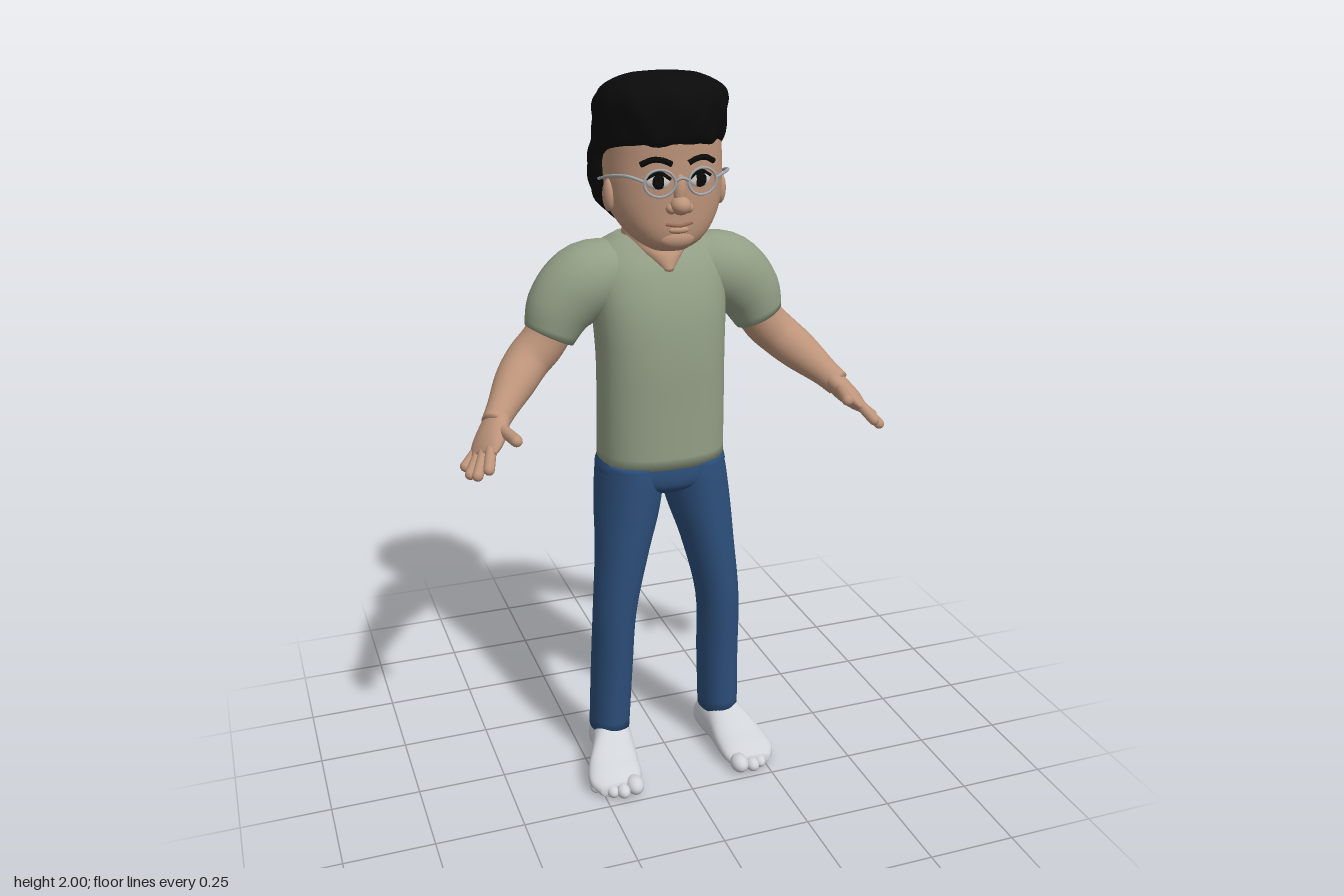
import * as THREE from 'three';

const V = (x, y, z) => new THREE.Vector3(x, y, z);
const paint = (name, color) => {
  const m = new THREE.MeshStandardMaterial({ color });
  m.name = name;
  return m;
};

// Smooth loft through rows [x, y, z, radiusU, radiusV]; without axes the rings follow the path.
function loft(rows, { u, v, power = 2, steps = 5, seg = 36, bump } = {}) {
  const path = new THREE.CatmullRomCurve3(rows.map(r => V(r[0], r[1], r[2])), false, 'catmullrom');
  const size = new THREE.CatmullRomCurve3(rows.map(r => V(r[3], r[4], 0)), false, 'catmullrom');
  const n = (rows.length - 1) * steps, pos = [], idx = [];
  const round = c => Math.sign(c) * Math.abs(c) ** (2 / power);
  for (let i = 0; i <= n; i++) {
    const c = path.getPoint(i / n), s = size.getPoint(i / n), t = path.getTangent(i / n);
    const a = u ?? V(0, 0, 1).cross(t).normalize(), b = v ?? t.clone().cross(a);
    for (let j = 0; j < seg; j++) {
      const q = j / seg * Math.PI * 2, k = bump ? 1 + bump(q, c.y) : 1;
      const p = c.clone().addScaledVector(a, round(Math.cos(q)) * s.x * k)
        .addScaledVector(b, round(Math.sin(q)) * s.y * k);
      pos.push(p.x, p.y, p.z);
    }
  }
  for (let i = 0; i < n; i++) for (let j = 0; j < seg; j++) {
    const k = (j + 1) % seg, a = i * seg + j, b = i * seg + k;
    idx.push(a, b, b + seg, a, b + seg, a + seg);
  }
  const first = path.getPoint(0), last = path.getPoint(1), e = (n + 1) * seg;
  pos.push(first.x, first.y, first.z, last.x, last.y, last.z);
  for (let j = 0; j < seg; j++) {
    const k = (j + 1) % seg;
    idx.push(e, k, j, e + 1, n * seg + j, n * seg + k);
  }
  const g = new THREE.BufferGeometry();
  g.setAttribute('position', new THREE.Float32BufferAttribute(pos, 3));
  g.setIndex(idx);
  g.computeVertexNormals();
  return g;
}

// Upright loft from rows [y, halfWidth, zFront, zBack, xCentre]
const upright = (rows, opts = {}) => loft(
  rows.map(([y, w, f, b, x = 0]) => [x, y, (f + b) / 2, (f - b) / 2, w]),
  { u: V(0, 0, 1), v: V(1, 0, 0), ...opts });

const tube = (pts, r) => new THREE.TubeGeometry(
  new THREE.CatmullRomCurve3(pts.map(p => V(...p))), 20, r, 8);

// Depth of the front of the face
const faceZ = x => -0.025 + 0.146 * (1 - (Math.abs(x) / 0.155) ** 2.4) ** (1 / 2.4);

export function createModel() {
  const model = new THREE.Group();
  model.name = 'standingMan';
  const skin = paint('skin', 0xbd947a), shirt = paint('sage shirt', 0x929e85);
  const denim = paint('denim', 0x2c4e7a), sock = paint('pale shoe', 0xd0d3d8);
  const black = paint('black hair', 0x0a0a0a), metal = paint('grey frame', 0xa4a8ac);
  const white = paint('eye white', 0xd2cbc5), lip = paint('lip', 0x9c6c5a);

  const add = (name, geo, mat, parent = model) => {
    const m = new THREE.Mesh(geo, mat);
    m.name = name;
    parent.add(m);
    return m;
  };
  const ball = (name, mat, p, s, parent) => {
    const m = add(name, new THREE.SphereGeometry(1, 24, 16), mat, parent);
    m.position.set(...p);
    m.scale.set(...s);
    return m;
  };

  // Torso, hips and neck
  add('shirtBody', upright([
    [0.945, 0.179, 0.1, -0.176], [1.1, 0.178, 0.1, -0.166], [1.25, 0.178, 0.1, -0.17],
    [1.38, 0.185, 0.085, -0.178], [1.48, 0.19, 0.048, -0.178],
    [1.54, 0.17, 0.005, -0.165], [1.575, 0.11, -0.02, -0.14],
  ], { power: 2.4 }), shirt);
  add('hips', upright([
    [0.86, 0.06, 0.06, -0.1], [0.885, 0.14, 0.09, -0.15],
    [0.92, 0.185, 0.098, -0.17], [0.97, 0.172, 0.094, -0.168],
  ], { power: 2.4 }), denim);
  add('neck', upright([
    [1.49, 0.02, 0.05, -0.05], [1.53, 0.065, 0.036, -0.11],
    [1.565, 0.095, 0.015, -0.145], [1.63, 0.085, 0.01, -0.13],
  ]), skin);

  // Head and hair
  add('head', upright([
    [1.553, 0.05, 0.08, -0.04], [1.575, 0.085, 0.105, -0.07], [1.61, 0.118, 0.115, -0.1],
    [1.66, 0.145, 0.118, -0.14], [1.72, 0.155, 0.121, -0.17], [1.79, 0.155, 0.122, -0.18],
    [1.86, 0.15, 0.12, -0.19], [1.93, 0.12, 0.08, -0.15],
  ], { power: 2.4, seg: 48 }), skin);
  const locks = (q, y) => 0.018 * Math.sin(q * 9 + y * 40) + 0.012 * Math.sin(q * 16 - y * 55);
  add('hair', upright([
    [1.588, 0.07, -0.07, -0.145], [1.62, 0.115, -0.045, -0.165], [1.67, 0.158, 0, -0.19],
    [1.74, 0.172, 0.02, -0.215], [1.785, 0.17, 0.03, -0.226], [1.815, 0.166, 0.09, -0.232],
    [1.835, 0.164, 0.128, -0.234], [1.88, 0.165, 0.14, -0.222], [1.93, 0.167, 0.138, -0.19],
    [1.965, 0.148, 0.118, -0.14], [1.99, 0.1, 0.07, -0.085], [1.998, 0.03, 0.02, -0.04],
  ], { power: 2.4, seg: 72, bump: locks }), black);

  // Nose and mouth
  ball('noseTip', skin, [0, 1.68, 0.126], [0.027, 0.024, 0.03]);
  ball('noseBridge', skin, [0, 1.715, 0.118], [0.017, 0.045, 0.017]);
  ball('chin', skin, [0, 1.59, 0.095], [0.05, 0.028, 0.024]);
  add('mouth', tube([[-0.036, 1.632, 0.114], [0, 1.627, 0.12], [0.036, 1.632, 0.114]], 0.0045), lip);
  ball('lowerLip', skin, [0, 1.615, 0.113], [0.028, 0.01, 0.012]);
  add('glassesBridge', tube([[-0.018, 1.745, 0.137], [0, 1.752, 0.14], [0.018, 1.745, 0.137]], 0.004), metal);

  for (const s of [1, -1]) {
    const side = new THREE.Group();
    side.name = s > 0 ? 'leftSide' : 'rightSide';
    model.add(side);

    // Eye, brow, ear and half of the glasses
    const ez = faceZ(0.056);
    ball('eyeWhite', white, [s * 0.056, 1.742, ez - 0.003], [0.031, 0.021, 0.01], side).rotation.y = s * 0.2;
    ball('pupil', black, [s * 0.055, 1.742, ez + 0.003], [0.018, 0.019, 0.007], side);
    add('upperLid', tube([0.026, 0.055, 0.086].map((x, i) =>
      [s * x, [1.748, 1.765, 1.75][i], faceZ(x) + 0.004]), 0.0045), black, side);
    add('brow', tube([0.022, 0.045, 0.07, 0.098].map((x, i) =>
      [s * x, [1.785, 1.795, 1.797, 1.784][i], faceZ(x) + 0.001]), 0.0075), black, side);
    ball('nostril', skin, [s * 0.022, 1.672, 0.118], [0.015, 0.014, 0.017], side);
    ball('ear', skin, [s * 0.153, 1.695, 0.005], [0.016, 0.042, 0.024], side);
    const rim = add('glassesRim', new THREE.TorusGeometry(0.04, 0.0038, 8, 32), metal, side);
    rim.position.set(s * 0.057, 1.74, 0.131);
    rim.rotation.y = s * 0.15;
    rim.scale.set(1, 0.85, 1);
    add('glassesTemple', tube([[s * 0.095, 1.745, 0.125], [s * 0.13, 1.758, 0.11],
      [s * 0.158, 1.75, 0.04], [s * 0.166, 1.73, -0.04]], 0.004), metal, side);

    // Sleeve and arm
    add('sleeve', loft([
      [s * 0.08, 1.47, -0.08, 0.085, 0.085], [s * 0.19, 1.457, -0.074, 0.103, 0.103],
      [s * 0.265, 1.395, -0.07, 0.095, 0.09], [s * 0.305, 1.315, -0.066, 0.071, 0.07],
    ]), shirt, side);
    add('arm', loft([
      [s * 0.28, 1.36, -0.068, 0.06, 0.06], [s * 0.322, 1.295, -0.07, 0.062, 0.062],
      [s * 0.368, 1.25, -0.06, 0.061, 0.061], [s * 0.415, 1.207, -0.018, 0.056, 0.056],
      [s * 0.465, 1.16, 0.04, 0.041, 0.041], [s * 0.495, 1.13, 0.075, 0.036, 0.036],
    ]), skin, side);

    // Hand: flat palm, four fingers and a thumb
    add('palm', loft([
      [s * 0.475, 1.15, 0.05, 0.03, 0.036], [s * 0.5, 1.12, 0.085, 0.03, 0.05],
      [s * 0.525, 1.093, 0.118, 0.025, 0.056], [s * 0.543, 1.073, 0.142, 0.014, 0.048],
    ], { u: V(s * 0.62, 0.78, 0).normalize().multiplyScalar(s),
      v: V(-0.5 * s, 0.36, 0.79).multiplyScalar(1) }), skin, side);
    const fingers = [
      [[0.542, 1.077, 0.09], [0.584, 1.042, 0.118]], [[0.545, 1.076, 0.115], [0.58, 1.035, 0.158]],
      [[0.538, 1.082, 0.138], [0.568, 1.042, 0.192]], [[0.522, 1.095, 0.152], [0.542, 1.062, 0.21]],
      [[0.485, 1.13, 0.105], [0.465, 1.125, 0.195]],
    ];
    fingers.forEach(([a, b], i) => {
      const p = V(s * a[0], a[1], a[2]), q = V(s * b[0], b[1], b[2]), d = q.clone().sub(p);
      const f = add(i < 4 ? 'finger' : 'thumb',
        new THREE.CapsuleGeometry(i < 4 ? 0.0145 : 0.016, d.length(), 6, 12), skin, side);
      f.position.copy(p).add(q).multiplyScalar(0.5);
      f.quaternion.setFromUnitVectors(V(0, 1, 0), d.normalize());
    });

    // Trouser leg
    add('trouserLeg', upright([
      [0.11, 0.058, 0.072, -0.077, s * 0.173], [0.3, 0.06, 0.08, -0.068, s * 0.166],
      [0.5, 0.062, 0.095, -0.056, s * 0.158], [0.68, 0.075, 0.1, -0.09, s * 0.13],
      [0.8, 0.09, 0.1, -0.135, s * 0.108], [0.9, 0.094, 0.099, -0.168, s * 0.094],
      [0.95, 0.088, 0.095, -0.168, s * 0.09],
    ]), denim, side);

    // Foot, from heel to toes, rows of [z, x, halfWidth, height]
    add('foot', loft([
      [-0.085, 0.17, 0.028, 0.05], [-0.06, 0.17, 0.052, 0.1], [0, 0.172, 0.058, 0.135],
      [0.06, 0.183, 0.063, 0.132], [0.12, 0.2, 0.076, 0.086], [0.17, 0.207, 0.077, 0.062],
      [0.21, 0.205, 0.055, 0.038],
    ].map(([z, x, w, h]) => [s * x, h / 2, z, w, h / 2]),
    { u: V(1, 0, 0), v: V(0, 1, 0), power: 2.4 }), sock, side);
    [[0.163, 0.208, 0.026], [0.2, 0.217, 0.02], [0.228, 0.205, 0.018],
      [0.25, 0.188, 0.017], [0.268, 0.167, 0.016]].forEach(([x, z, r]) =>
      ball('toe', sock, [s * x, r, z], [r, r, r * 1.35], side));
  }
  return model;
}
